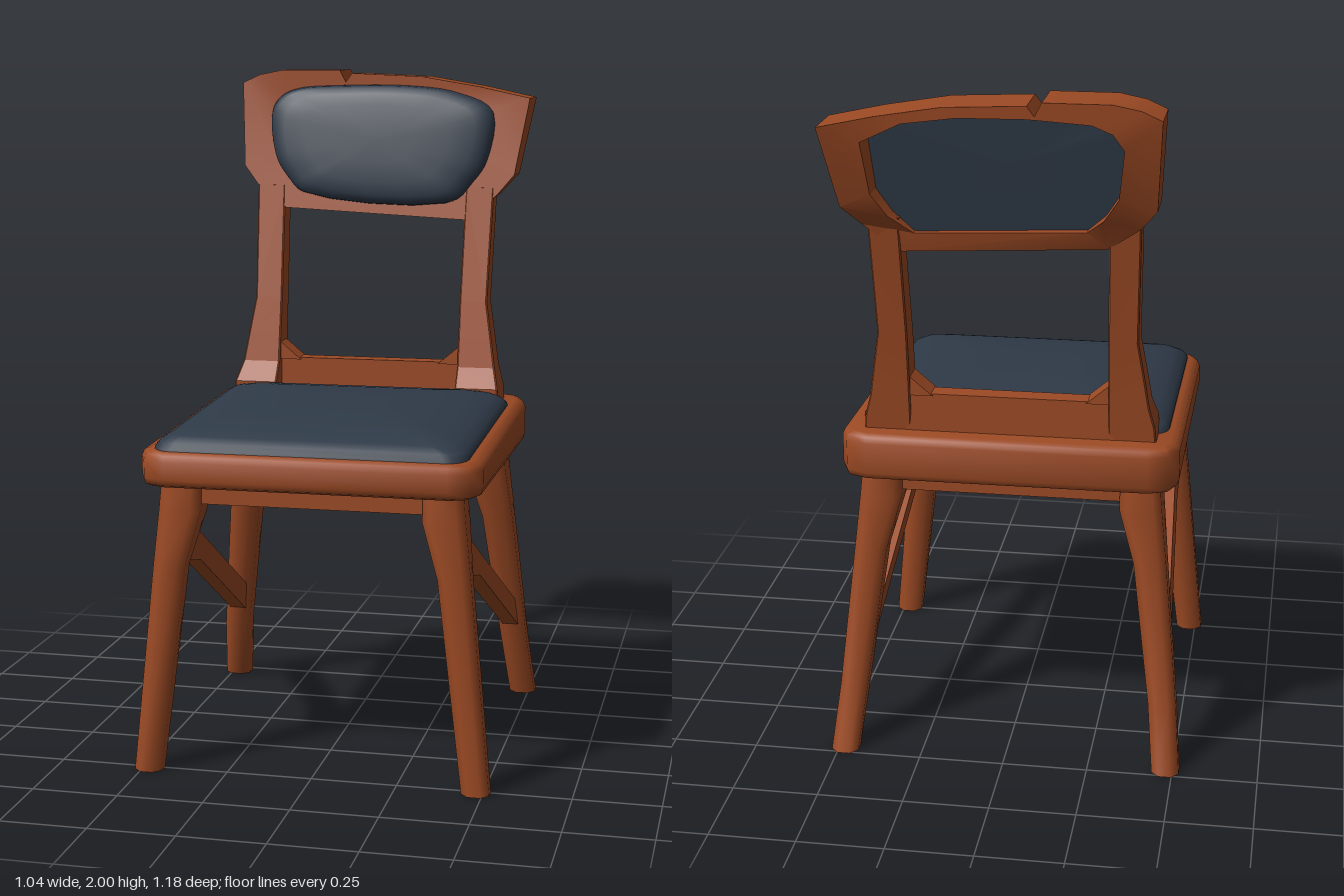
import * as THREE from 'three';
import { toCreasedNormals } from 'three/addons/utils/BufferGeometryUtils.js';

// Skin a list of equal-length point rings; caps the ends unless the rings form a loop
function loft(rings, crease = 0.5, loop = false) {
  const n = rings[0].length, tris = [];
  const steps = loop ? rings.length : rings.length - 1;
  for (let i = 0; i < steps; i++) {
    const a = rings[i], b = rings[(i + 1) % rings.length];
    for (let j = 0; j < n; j++) {
      const k = (j + 1) % n;
      tris.push([a[j], b[j], b[k]], [a[j], b[k], a[k]]);
    }
  }
  if (!loop) {
    const cap = (r, flip) => {
      const c = [0, 1, 2].map(d => r.reduce((s, p) => s + p[d], 0) / n);
      for (let j = 0; j < n; j++) {
        const p = r[j], q = r[(j + 1) % n];
        tris.push(flip ? [c, q, p] : [c, p, q]);
      }
    };
    cap(rings[0], false);
    cap(rings[rings.length - 1], true);
  }
  // Turn all faces outward by the sign of the enclosed volume
  let vol = 0;
  for (const [a, b, c] of tris) {
    vol += a[0] * (b[1] * c[2] - b[2] * c[1]) + a[1] * (b[2] * c[0] - b[0] * c[2]) + a[2] * (b[0] * c[1] - b[1] * c[0]);
  }
  const pos = tris.flatMap(([a, b, c]) => (vol < 0 ? [a, c, b] : [a, b, c])).flat();
  const g = new THREE.BufferGeometry();
  g.setAttribute('position', new THREE.Float32BufferAttribute(pos, 3));
  g.computeVertexNormals();
  return toCreasedNormals(g, crease);
}

// Horizontal rectangle with rounded corners; y may depend on z
function rectRing(x0, x1, z0, z1, r, y, seg = 1) {
  const pts = [];
  const corners = [[x1 - r, z1 - r], [x0 + r, z1 - r], [x0 + r, z0 + r], [x1 - r, z0 + r]];
  corners.forEach(([cx, cz], q) => {
    for (let i = 0; i <= seg; i++) {
      const a = (q + i / seg) * Math.PI / 2;
      const z = cz + r * Math.sin(a);
      pts.push([cx + r * Math.cos(a), typeof y === 'function' ? y(z) : y, z]);
    }
  });
  return pts;
}

// Piecewise linear lookup
function lerpTable(table, t) {
  for (let i = 1; i < table.length; i++) {
    const [a, va] = table[i - 1], [b, vb] = table[i];
    if (t <= b || i === table.length - 1) return va + (vb - va) * Math.max(0, (t - a) / (b - a));
  }
}

export function createModel() {
  const group = new THREE.Group();
  const wood = new THREE.MeshStandardMaterial({ color: 0x9c4a24 });
  wood.name = 'wood';
  const fabric = new THREE.MeshStandardMaterial({ color: 0x2f3a48 });
  fabric.name = 'fabric';
  const add = (name, geometry, material = wood) => {
    const m = new THREE.Mesh(geometry, material);
    m.name = name;
    group.add(m);
    return m;
  };
  const box = (name, x0, x1, y0, y1, z0, z1) =>
    add(name, new THREE.BoxGeometry(x1 - x0, y1 - y0, z1 - z0)).position.set((x0 + x1) / 2, (y0 + y1) / 2, (z0 + z1) / 2);

  // Seat frame, its top rising towards the back
  const seatTop = z => 0.95 + 0.04 * (0.59 - z) / 1.02;
  const seatRing = (d, y) => rectRing(-0.49 + d, 0.49 - d, -0.43 + d, 0.59 - d, 0.085 - d, y, 2);
  add('seatFrame', loft([
    seatRing(0.025, 0.85), seatRing(0.006, 0.858), seatRing(0, 0.875),
    seatRing(0, z => seatTop(z) - 0.025), seatRing(0.008, z => seatTop(z) - 0.008), seatRing(0.028, seatTop),
  ], 0.9));

  // Domed seat cushion
  const cushionRing = (d, h) =>
    rectRing(-0.45 + d, 0.45 - d, -0.285 + d, 0.56 - d, 0.06, z => seatTop(z) + h, 4);
  add('seatCushion', loft([
    [0, -0.02], [0, 0.005], [0.012, 0.022], [0.04, 0.038], [0.09, 0.052], [0.17, 0.065], [0.27, 0.073], [0.35, 0.076],
  ].map(([d, h]) => cushionRing(d, h)), 1.0), fabric);

  // Apron rails under the seat
  box('frontApron', -0.36, 0.36, 0.79, 0.86, 0.45, 0.49);
  box('backApron', -0.36, 0.36, 0.79, 0.86, -0.33, -0.29);

  // Sections: y, inner x, outer x, back z, front z
  const frontLeg = [
    [0, 0.44, 0.52, 0.47, 0.55], [0.61, 0.365, 0.46, 0.445, 0.532],
    [0.77, 0.32, 0.443, 0.405, 0.525], [0.87, 0.32, 0.434, 0.41, 0.52],
  ];
  const backLeg = [
    [0, 0.44, 0.52, -0.507, -0.425], [0.19, 0.42, 0.502, -0.44, -0.355],
    [0.61, 0.365, 0.46, -0.385, -0.28], [0.77, 0.32, 0.443, -0.37, -0.23], [0.87, 0.32, 0.434, -0.36, -0.225],
  ];
  const post = [
    [0.95, 0.285, 0.425, -0.35, -0.222], [1.03, 0.285, 0.418, -0.358, -0.222], [1.09, 0.285, 0.402, -0.365, -0.265],
    [1.18, 0.285, 0.388, -0.375, -0.283], [1.29, 0.285, 0.37, -0.39, -0.304], [1.64, 0.29, 0.378, -0.45, -0.372],
  ];
  const stretcher = [[0.46, 0.73], [0.42, 0.728], [-0.36, 0.325], [-0.36, 0.245], [0.37, 0.625], [0.46, 0.613]];

  for (const [side, s] of [['left', 1], ['right', -1]]) {
    const column = (rows, r) => rows.map(([y, x0, x1, z0, z1]) =>
      rectRing(x0, x1, z0, z1, r, y).map(([x, py, z]) => [s * x, py, z]));
    add(side + 'FrontLeg', loft(column(frontLeg, 0.022), 0.9));
    add(side + 'BackLeg', loft(column(backLeg, 0.022), 0.9));
    add(side + 'BackPost', loft(column(post, 0.004), 0.4));

    // Diagonal stretcher following the splay of the legs
    add(side + 'Stretcher', loft([-0.025, 0.025].map(d =>
      stretcher.map(([z, y]) => [s * (0.477 - 0.1 * y + d), y, z])), 0.3));

    box(side + 'Apron', s > 0 ? 0.36 : -0.4, s > 0 ? 0.4 : -0.36, 0.79, 0.86, -0.3, 0.46);

    // Corner block where the post meets the lower rail
    add(side + 'CornerBlock', loft([-0.285, -0.36].map(z =>
      [[0.22, 1.095], [0.295, 1.095], [0.295, 1.16], [0.285, 1.15]].map(([x, y]) => [s * x, y, z])), 0.3));
  }
  box('lowerBackRail', -0.3, 0.3, 0.96, 1.1, -0.355, -0.295);

  // Uneven back frame: matching outer and inner outlines
  const outer = [
    [-0.285, 1.57], [-0.378, 1.64], [-0.425, 1.7], [-0.44, 1.96], [-0.385, 1.985], [-0.31, 2], [-0.125, 2], [-0.105, 1.962],
    [-0.085, 1.99], [0.14, 1.98], [0.32, 1.95], [0.48, 1.915], [0.44, 1.68], [0.39, 1.62], [0.3, 1.54],
  ];
  const inner = [
    [-0.23, 1.62], [-0.28, 1.665], [-0.322, 1.73], [-0.34, 1.875], [-0.31, 1.92], [-0.255, 1.943], [-0.12, 1.952], [-0.1, 1.953],
    [-0.08, 1.954], [0.1, 1.952], [0.25, 1.932], [0.365, 1.875], [0.352, 1.72], [0.31, 1.655], [0.25, 1.597],
  ];
  const frontZ = y => lerpTable([[1.09, -0.265], [1.61, -0.368], [1.91, -0.425], [2, -0.426]], y);
  const backZ = y => lerpTable([[1.5, -0.42], [1.61, -0.44], [1.66, -0.495], [1.91, -0.583], [2, -0.59]], y);
  add('backFrame', loft(outer.map(([x, y], i) => {
    const [u, v] = inner[i];
    return [[x, y, frontZ(y)], [x, y, backZ(y)], [u, v, backZ(v)], [u, v, frontZ(v)]];
  }), 0.4, true));

  // Padded panel: flat behind, bulging in front
  const padOutline = new THREE.CatmullRomCurve3(
    inner.filter((p, i) => i !== 7 && i !== 8).map(([x, y]) => new THREE.Vector3(x, y, 0)), true, 'centripetal').getPoints(56).slice(0, 56);
  add('backPad', loft([
    [1, -0.05], [1, 0.005], [0.985, 0.024], [0.94, 0.037], [0.85, 0.046], [0.65, 0.053], [0.35, 0.057],
  ].map(([k, h]) => padOutline.map(p => {
    const y = 1.78 + (p.y - 1.78) * k;
    return [0.01 + (p.x - 0.01) * k, y, frontZ(y) + h];
  })), 1.0), fabric);

  return group;
}
